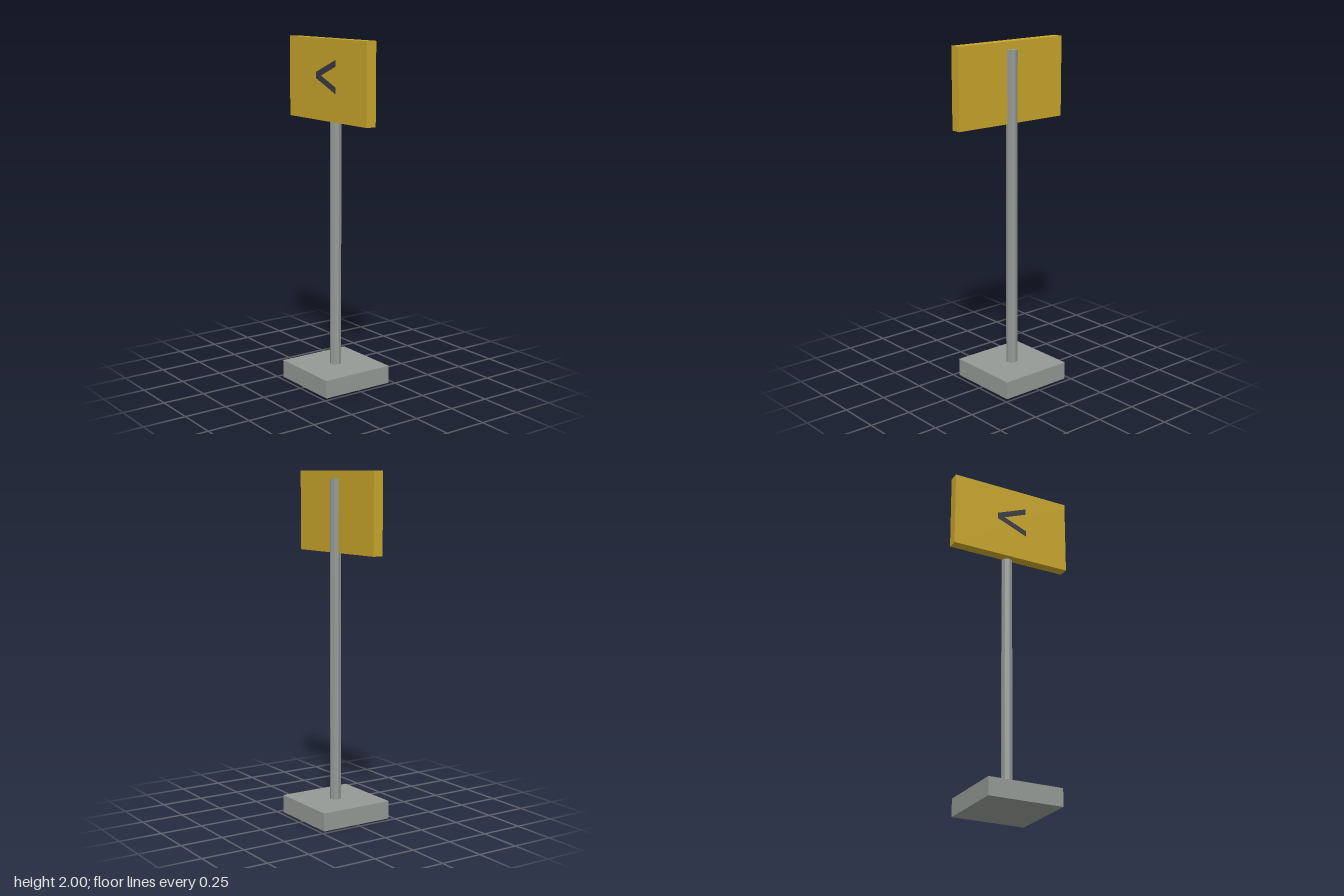
import * as THREE from 'three';

export function createModel() {
  const group = new THREE.Group();
  group.name = 'directionSign';

  const material = (name, color, options = {}) => {
    const m = new THREE.MeshStandardMaterial({ color, ...options });
    m.name = name;
    return m;
  };
  const grey = material('grey metal', 0x959a95, { flatShading: true });
  const yellow = material('sign yellow', 0xc9a62b);
  const dark = material('dark marking', 0x3a3c44, { side: THREE.DoubleSide });

  const add = (name, geometry, mat, x, y, z) => {
    const mesh = new THREE.Mesh(geometry, mat);
    mesh.name = name;
    mesh.position.set(x, y, z);
    group.add(mesh);
  };

  // Square foot and eight-sided post
  add('base', new THREE.BoxGeometry(0.446, 0.104, 0.446), grey, 0, 0.052, 0);
  add('post', new THREE.CylinderGeometry(0.033, 0.033, 1.853, 8), grey, 0, 1.0285, 0);

  // Board mounted on the front half of the post
  add('board', new THREE.BoxGeometry(0.742, 0.461, 0.061), yellow, 0, 1.7695, 0.0305);

  // Chevron pointing to the viewer's left, just proud of the board
  const upper = [[-0.095, 0.018], [0.094, 0.095], [0.094, 0.058], [-0.047, 0]];
  const lower = upper.slice(0, 3).reverse().map(([x, y]) => [x, -y]);
  const chevron = new THREE.Shape([...upper, ...lower].map(([x, y]) => new THREE.Vector2(x, y)));
  add('chevron', new THREE.ShapeGeometry(chevron), dark, 0, 1.792, 0.067);

  return group;
}
